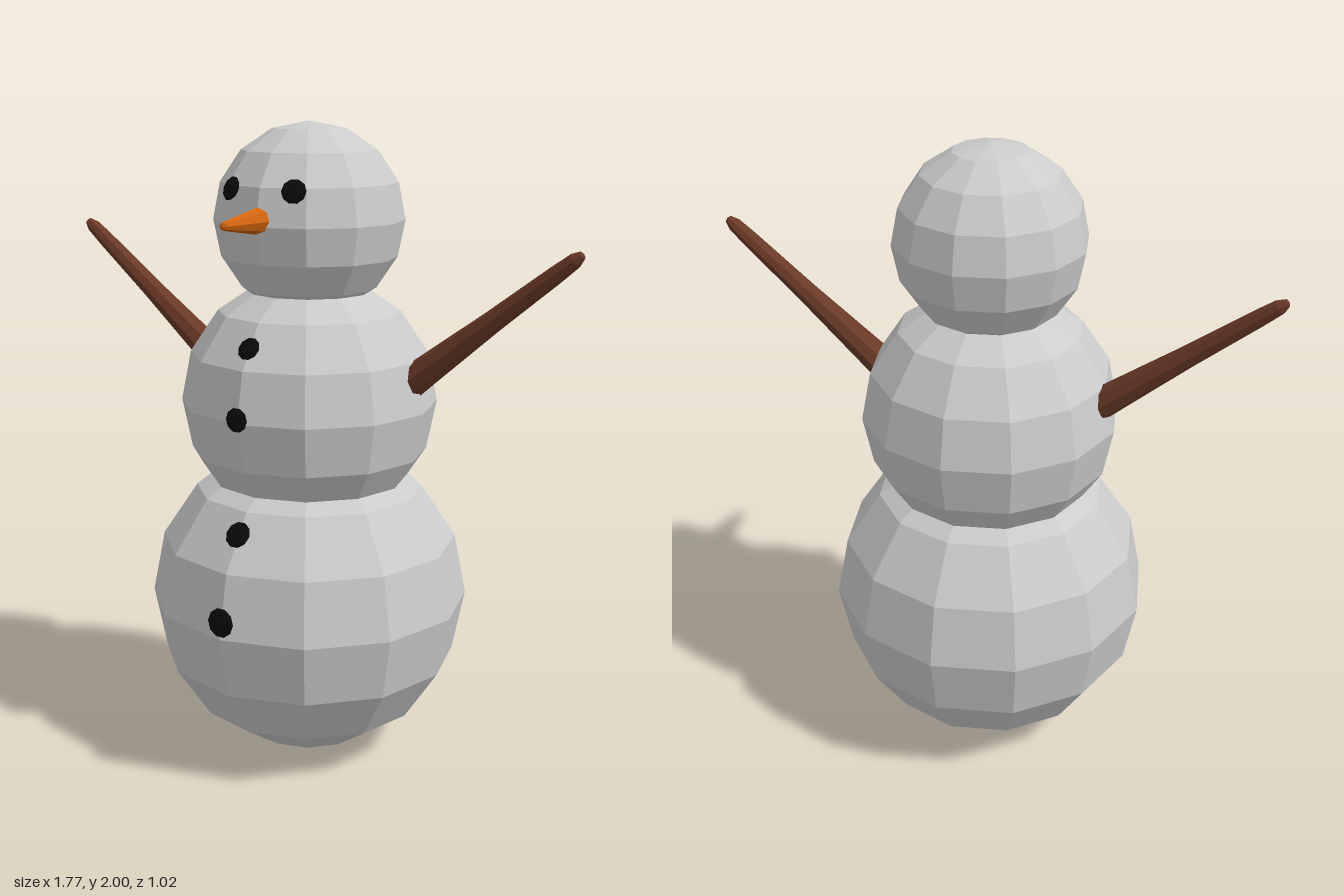
import * as THREE from 'three';

const material = (color) => new THREE.MeshStandardMaterial({ color, flatShading: true });
const snow = material(0xcccccc);
const coal = material(0x0a0a0a);
const bark = material(0x6b3a28);
const carrot = material(0xd2640f);
const CZ = -0.005;

export function createModel() {
  const group = new THREE.Group();
  const add = (name, geometry, mat, x, y, z) => {
    const mesh = new THREE.Mesh(geometry, mat);
    mesh.name = name;
    mesh.position.set(x, y, z);
    group.add(mesh);
    return mesh;
  };
  // Turned shape from [radius, height] pairs, running along +y
  const turned = (points, sides) =>
    new THREE.LatheGeometry(points.map(([r, h]) => new THREE.Vector2(r, h)), sides);

  // Three stacked snowballs
  const balls = [['lowerBody', 0.505, 0.51], ['upperBody', 0.4, 1.145], ['head', 0.293, 1.707]];
  for (const [name, radius, y] of balls) {
    add(name, new THREE.SphereGeometry(radius, 12, 8), snow, 0, y, CZ);
  }

  // Flat coal pebbles, facing along the given normal
  const pebble = (name, radius, position, normal) => {
    const geometry = new THREE.SphereGeometry(radius, 10, 6);
    geometry.rotateX(Math.PI / 2);
    geometry.scale(1, 1, 0.28);
    const mesh = add(name, geometry, coal, ...position);
    mesh.lookAt(new THREE.Vector3(...position).add(new THREE.Vector3(...normal)));
  };
  pebble('button1', 0.036, [0, 1.36, 0.33], [0, 0.56, 0.83]);
  pebble('button2', 0.037, [0, 1.16, 0.398], [0, 0.04, 1]);
  pebble('button3', 0.041, [0, 0.81, 0.398], [0, 0.56, 0.83]);
  pebble('button4', 0.045, [0, 0.563, 0.494], [0, 0.1, 1]);
  pebble('rightEye', 0.037, [-0.108, 1.812, 0.253], [-0.1, 0.1, 0.25]);
  pebble('leftEye', 0.037, [0.108, 1.812, 0.253], [0.1, 0.1, 0.25]);

  // Carrot nose with a blunt tip
  const nose = turned([[0, 0], [0.041, 0], [0.037, 0.06], [0.012, 0.215], [0, 0.222]], 8);
  nose.rotateX(Math.PI / 2);
  add('nose', nose, carrot, 0, 1.725, 0.235);

  // Tapered branch arms, raised outwards
  const arm = [[0, 0], [0.035, 0.005], [0.05, 0.03], [0.045, 0.12], [0.033, 0.36],
    [0.026, 0.6], [0.022, 0.67], [0.012, 0.695], [0, 0.7]];
  for (const side of [1, -1]) {
    const mesh = add(side > 0 ? 'leftArm' : 'rightArm', turned(arm, 8), bark,
      side * 0.333, 1.222, -0.014);
    mesh.rotation.z = -side * Math.atan2(0.547, 0.434);
  }
  return group;
}
